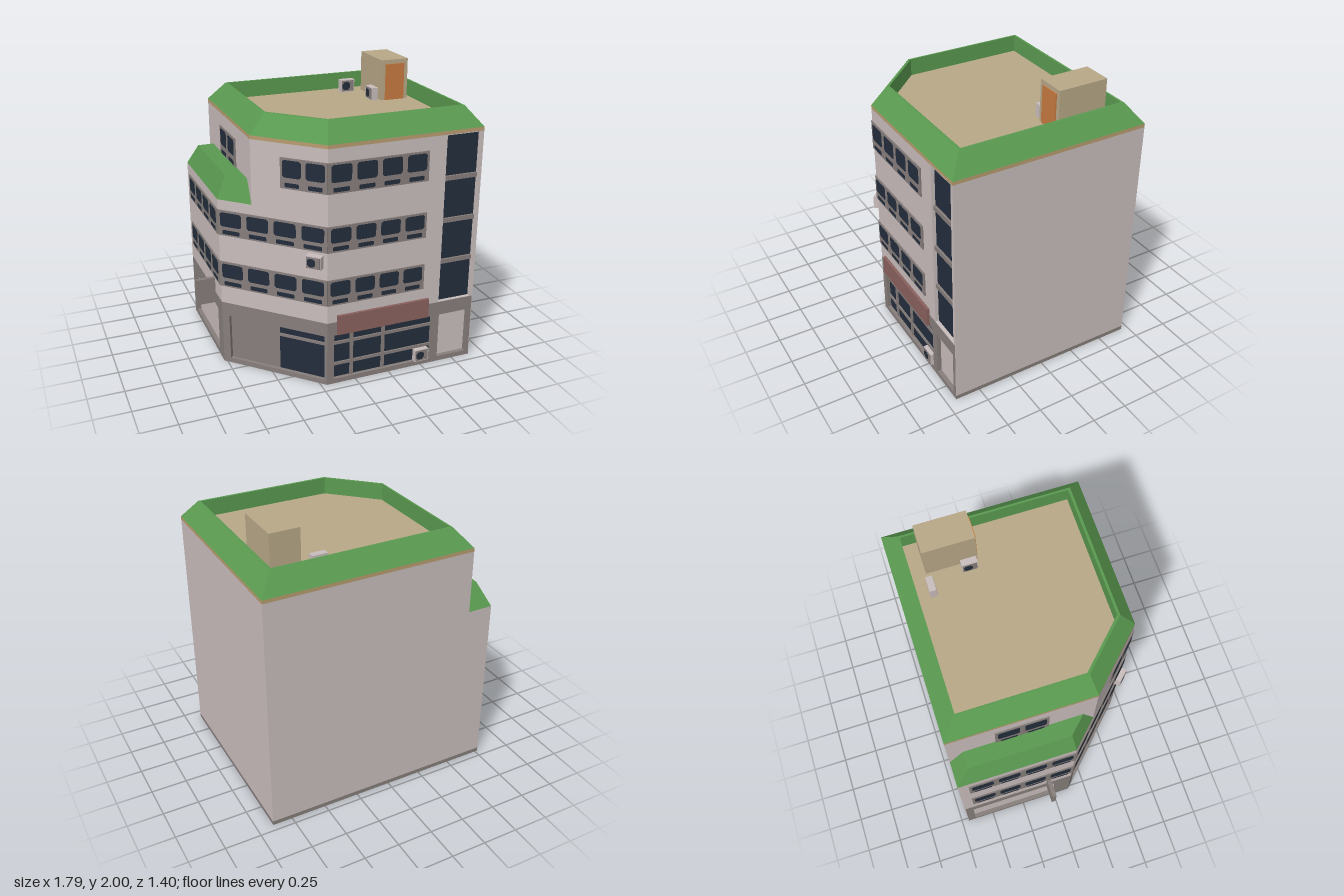
import * as THREE from 'three';

const mat = (name, color) => Object.assign(new THREE.MeshStandardMaterial({ color }), { name });
const M = {
  wall: mat('pale pink plaster', 0xc9bdbd),
  stone: mat('grey stone', 0x867e7b),
  glass: mat('dark glass', 0x222d3b),
  green: mat('green roof', 0x5a9a50),
  tan: mat('tan concrete', 0xb8a888),
  trim: mat('tan trim', 0xb89c70),
  sign: mat('red sign', 0x8a615d),
  door: mat('orange door', 0xc67a40),
};
const DEPTH = 0.03; // depth of recessed openings

function add(parent, name, geo, material, x = 0, y = 0, z = 0) {
  const mesh = new THREE.Mesh(geo, material);
  mesh.name = name;
  mesh.position.set(x, y, z);
  parent.add(mesh);
  return mesh;
}

// box given by its minimum and maximum corners
function box(parent, name, material, x0, x1, y0, y1, z0, z1) {
  return add(parent, name, new THREE.BoxGeometry(x1 - x0, y1 - y0, z1 - z0), material,
    (x0 + x1) / 2, (y0 + y1) / 2, (z0 + z1) / 2);
}

// flat-faced skin through stacked convex outlines [y, [[x, z], ...]]
function loft(rings, bottom = true, top = true) {
  const pos = [];
  const pt = ([y, pts], i) => [pts[i][0], y, pts[i][1]];
  const n = rings[0][1].length;
  for (let r = 0; r < rings.length - 1; r++) {
    const a = rings[r], b = rings[r + 1];
    for (let i = 0; i < n; i++) {
      const j = (i + 1) % n;
      pos.push(...pt(a, i), ...pt(b, i), ...pt(b, j), ...pt(a, i), ...pt(b, j), ...pt(a, j));
    }
  }
  const last = rings[rings.length - 1];
  for (let i = 1; i < n - 1; i++) {
    if (bottom) pos.push(...pt(rings[0], 0), ...pt(rings[0], i), ...pt(rings[0], i + 1));
    if (top) pos.push(...pt(last, 0), ...pt(last, i + 1), ...pt(last, i));
  }
  const g = new THREE.BufferGeometry();
  g.setAttribute('position', new THREE.Float32BufferAttribute(pos, 3));
  g.computeVertexNormals();
  return g;
}
const prism = (pts, y0, y1) => loft([[y0, pts], [y1, pts]]);

// local frame on a wall: x runs along it, z points outward
function frameAt(parent, name, x, z, angle) {
  const g = new THREE.Group();
  g.name = name;
  g.position.set(x, 0, z);
  g.rotation.y = angle;
  parent.add(g);
  return g;
}

// wall slab with rectangular openings [x0, x1, y0, y1]
function slab(parent, name, material, x0, x1, y0, y1, openings = []) {
  const rect = (C, a, b, c, d) => {
    const s = new C();
    s.moveTo(a, c); s.lineTo(b, c); s.lineTo(b, d); s.lineTo(a, d); s.closePath();
    return s;
  };
  const shape = rect(THREE.Shape, x0, x1, y0, y1);
  openings.forEach(o => shape.holes.push(rect(THREE.Path, ...o)));
  add(parent, name, new THREE.ExtrudeGeometry(shape, { depth: DEPTH, bevelEnabled: false }), material, 0, 0, -DEPTH);
}

// thin pane with clipped corners
function pane(parent, name, x0, x1, y0, y1, z, c = 0.012) {
  const s = new THREE.Shape();
  [[x0 + c, y0], [x1 - c, y0], [x1, y0 + c], [x1, y1 - c], [x1 - c, y1], [x0 + c, y1], [x0, y1 - c], [x0, y0 + c]]
    .forEach(([x, y], i) => (i ? s.lineTo(x, y) : s.moveTo(x, y)));
  add(parent, name, new THREE.ShapeGeometry(s), M.glass, 0, 0, z);
}

// framed row of windows, each with a low vent pane
function windowRow(parent, x0, x1, y0, y1, count) {
  box(parent, 'windowFrame', M.stone, x0, x1, y0, y1, -0.005, 0.008);
  const pitch = (x1 - x0) / count, gap = pitch * 0.1;
  for (let i = 0; i < count; i++) {
    const a = x0 + i * pitch + gap, b = x0 + (i + 1) * pitch - gap;
    pane(parent, 'windowPane', a, b, y0 + (y1 - y0) * 0.37, y1 - 0.013, 0.0105);
    pane(parent, 'ventPane', a + 0.015, b - 0.015, y0 + 0.012, y0 + 0.042, 0.0105, 0.005);
  }
}

// air conditioner whose back rests on local z = 0
function airConditioner(parent, x, y, z, angle = 0, body = M.wall) {
  const g = frameAt(parent, 'airConditioner', x, z, angle);
  g.position.y = y;
  box(g, 'casing', body, -0.053, 0.053, 0, 0.09, 0, 0.046);
  box(g, 'grillePanel', M.stone, -0.047, 0.047, 0.006, 0.084, 0.044, 0.048);
  pane(g, 'fan', -0.042, 0.016, 0.016, 0.074, 0.05, 0.015);
}

export function createModel() {
  const root = new THREE.Group();
  root.name = 'cornerBuilding';

  // outlines as [x, z]
  const foot = [[-0.77, -0.7], [0.89, -0.7], [0.89, 0.68], [-0.21, 0.68], [-0.77, 0.12]];
  const upper = [[-0.59, -0.7], [0.89, -0.7], [0.89, 0.68], [-0.21, 0.68], [-0.59, 0.3]];
  const coreLow = [[-0.74, -0.7], [0.89, -0.7], [0.89, 0.65], [-0.198, 0.65], [-0.74, 0.108]];
  const coreHigh = [[-0.56, -0.7], [0.89, -0.7], [0.89, 0.65], [-0.198, 0.65], [-0.56, 0.288]];
  const rimOut = [[-0.48, -0.6], [0.79, -0.6], [0.79, 0.58], [-0.17, 0.58], [-0.48, 0.27]];
  const rimIn = [[-0.468, -0.585], [0.775, -0.585], [0.775, 0.562], [-0.163, 0.562], [-0.468, 0.257]];

  // main masses
  add(root, 'basePlinth', prism(foot, 0, 0.03), M.stone);
  add(root, 'lowerCore', prism(coreLow, 0.03, 1.23), M.wall);
  add(root, 'upperCore', prism(coreHigh, 1.23, 1.676), M.wall);
  add(root, 'corniceBand', prism(upper, 1.675, 1.7), M.trim);

  // plaster corners closing the ends of the slabs
  box(root, 'rightCorner', M.wall, 0.886, 0.89, 0.03, 1.675, 0.64, 0.68);
  box(root, 'backCorner', M.wall, -0.77, -0.73, 0.03, 1.23, -0.7, -0.696);
  box(root, 'upperBackCorner', M.wall, -0.59, -0.55, 1.23, 1.675, -0.7, -0.696);

  // front facade, x measured from the model centre
  const front = frameAt(root, 'frontFacade', 0, 0.68, 0);
  slab(front, 'groundWall', M.stone, -0.21, 0.886, 0.03, 0.47,
    [[-0.16, 0.575, 0.035, 0.37], [0.63, 0.855, 0.035, 0.37]]);
  slab(front, 'upperWall', M.wall, -0.21, 0.886, 0.47, 1.675, [[0.62, 0.865, 0.473, 1.67]]);
  box(front, 'shopGlass', M.glass, -0.16, 0.575, 0.035, 0.37, -0.032, -0.026);
  for (const y of [0.3, 0.14]) box(front, 'shopRail', M.stone, -0.16, 0.575, y - 0.011, y + 0.011, -0.03, -0.016);
  for (const x of [-0.025, 0.21]) box(front, 'shopMullion', M.stone, x - 0.011, x + 0.011, 0.035, 0.37, -0.03, -0.014);
  box(front, 'stairGlass', M.glass, 0.62, 0.865, 0.473, 1.67, -0.032, -0.026);
  for (const y of [0.77, 1.07, 1.37]) box(front, 'stairTransom', M.stone, 0.62, 0.865, y - 0.016, y + 0.016, -0.03, -0.012);
  box(front, 'signBoard', M.sign, -0.14, 0.535, 0.38, 0.52, -0.005, 0.02);
  for (const [y0, y1] of [[0.6, 0.785], [0.98, 1.16], [1.38, 1.585]]) windowRow(front, -0.21, 0.492, y0, y1, 4);
  airConditioner(front, 0.502, 0.035, -0.035);

  // angled corner facade
  const angled = frameAt(root, 'angledFacade', -0.77, 0.12, -Math.PI / 4);
  const L = 0.56 * Math.SQRT2, step = 0.18 * Math.SQRT2;
  slab(angled, 'groundWall', M.stone, 0, L, 0.03, 0.47, [[0.055, L - 0.02, 0.035, 0.37]]);
  slab(angled, 'middleWall', M.wall, 0, L, 0.47, 1.23);
  slab(angled, 'topWall', M.wall, step, L, 1.23, 1.675);
  box(angled, 'entrancePanel', M.stone, 0.055, 0.43, 0.035, 0.37, -0.032, -0.027);
  box(angled, 'entranceGlass', M.glass, 0.43, L - 0.02, 0.035, 0.37, -0.032, -0.026);
  box(angled, 'entranceRail', M.stone, 0.43, L - 0.02, 0.291, 0.311, -0.03, -0.016);
  windowRow(angled, 0, L, 0.6, 0.785, 4);
  windowRow(angled, 0, L, 0.98, 1.16, 4);
  windowRow(angled, 0.467, L, 1.38, 1.585, 2);
  airConditioner(angled, 0.71, 0.87, 0);

  // left facade, x measured from the back corner
  const left = frameAt(root, 'leftFacade', -0.77, -0.7, -Math.PI / 2);
  slab(left, 'groundWall', M.stone, 0.004, 0.82, 0.03, 0.47, [[0.06, 0.71, 0.035, 0.37]]);
  slab(left, 'middleWall', M.wall, 0.004, 0.82, 0.47, 1.23);
  windowRow(left, 0.07, 0.82, 0.6, 0.785, 4);
  windowRow(left, 0.07, 0.82, 0.98, 1.16, 4);
  box(left, 'hangingSign', M.stone, 0.63, 0.66, 0.39, 0.58, -0.01, 0.13);
  const leftTop = frameAt(root, 'leftTopFacade', -0.59, -0.7, -Math.PI / 2);
  slab(leftTop, 'topWall', M.wall, 0.004, 1, 1.23, 1.675);
  windowRow(leftTop, 0.32, 0.68, 1.38, 1.585, 2);

  // sloped green roofs
  add(root, 'roofParapet', loft([[1.7, upper], [1.83, rimOut], [1.83, rimIn], [1.705, rimIn]], true, false), M.green);
  add(root, 'roofDeck', prism(rimIn, 1.702, 1.712), M.tan);
  add(root, 'leftEave', loft([
    [1.23, [[-0.77, -0.7], [-0.588, -0.7], [-0.588, 0.302], [-0.77, 0.12]]],
    [1.385, [[-0.705, -0.6], [-0.588, -0.6], [-0.588, 0.22], [-0.705, 0.103]]],
  ]), M.green);

  // roof hut and equipment
  box(root, 'roofHut', M.tan, 0.535, 0.74, 1.705, 2, -0.49, -0.14);
  box(root, 'roofDoor', M.door, 0.565, 0.71, 1.712, 1.97, -0.141, -0.132);
  airConditioner(root, 0.415, 1.712, -0.506);
  airConditioner(root, 0.516, 1.712, -0.207, -Math.PI / 2);
  return root;
}
